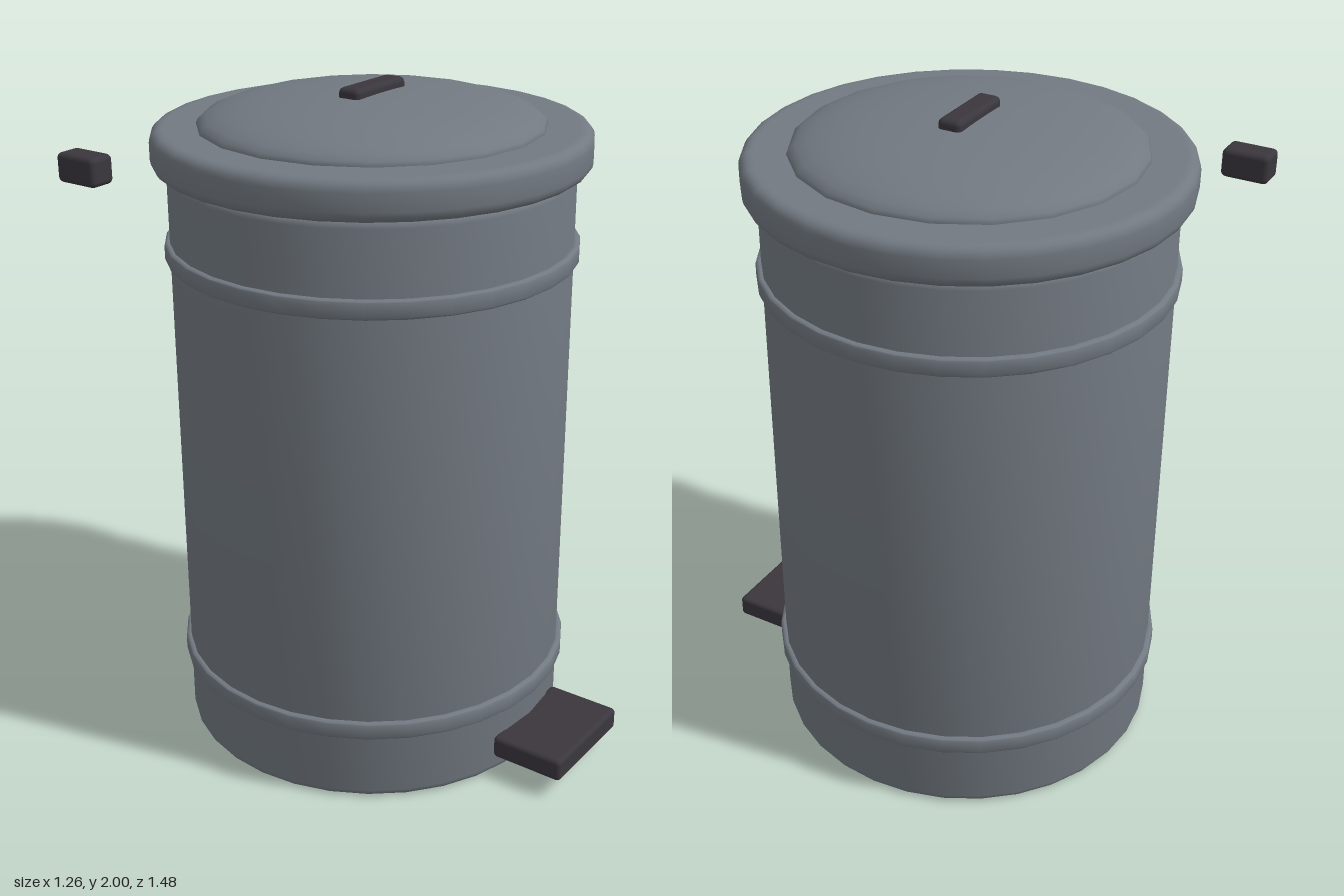
import * as THREE from 'three';
import { toCreasedNormals } from 'three/addons/utils/BufferGeometryUtils.js';
import { RoundedBoxGeometry } from 'three/addons/geometries/RoundedBoxGeometry.js';

const AXIS_Z = -0.053; // the bin sits slightly back, making room for the pedal

export function createModel() {
  const group = new THREE.Group();
  const steel = new THREE.MeshStandardMaterial({ color: 0x727981 });
  steel.name = 'grey steel';
  const plastic = new THREE.MeshStandardMaterial({ color: 0x3a363d });
  plastic.name = 'dark plastic';

  function add(name, geometry, material, x, y, z) {
    const mesh = new THREE.Mesh(geometry, material);
    mesh.name = name;
    mesh.position.set(x, y, z);
    group.add(mesh);
    return mesh;
  }

  // Solid disc or cylinder with rounded rims, from y0 to y1
  function drum(name, radius, y0, y1, bevel) {
    const h = y1 - y0;
    const inner = radius - bevel;
    const points = [new THREE.Vector2(0, 0), new THREE.Vector2(inner - 0.01, 0)];
    for (const [centreY, start] of [[bevel, -Math.PI / 2], [h - bevel, 0]]) {
      for (let i = 0; i <= 4; i++) {
        const a = start + (i / 4) * (Math.PI / 2);
        points.push(new THREE.Vector2(inner + bevel * Math.cos(a), centreY + bevel * Math.sin(a)));
      }
    }
    points.push(new THREE.Vector2(inner - 0.01, h), new THREE.Vector2(0, h));
    const geometry = toCreasedNormals(new THREE.LatheGeometry(points, 32), 0.6);
    return add(name, geometry, steel, 0, y0, AXIS_Z);
  }

  // Box with softened edges
  function block(name, w, h, d, radius, x, y, z) {
    return add(name, new RoundedBoxGeometry(w, h, d, 3, radius), plastic, x, y, z);
  }

  // Body and its two hoops
  drum('body', 0.587, 0, 1.77, 0.022);
  drum('lowerBand', 0.603, 0.21, 0.265, 0.01);
  drum('upperBand', 0.603, 1.505, 1.56, 0.01);

  // Lid: rounded rim with a shallow dome
  drum('lidRim', 0.63, 1.77, 1.885, 0.032);
  const dome = new THREE.SphereGeometry(0.5, 20, 10, 0, Math.PI * 2, 0, Math.PI / 2);
  dome.scale(1, 0.184, 1);
  add('lidDome', dome, steel, 0, 1.883, AXIS_Z);

  // Fittings
  block('lidHandle', 0.235, 0.045, 0.072, 0.016, 0, 1.9775, AXIS_Z);
  block('pedal', 0.352, 0.07, 0.23, 0.014, 0, 0.095, 0.625);
  block('hinge', 0.086, 0.086, 0.142, 0.016, -0.53, 1.773, -0.669);

  return group;
}
